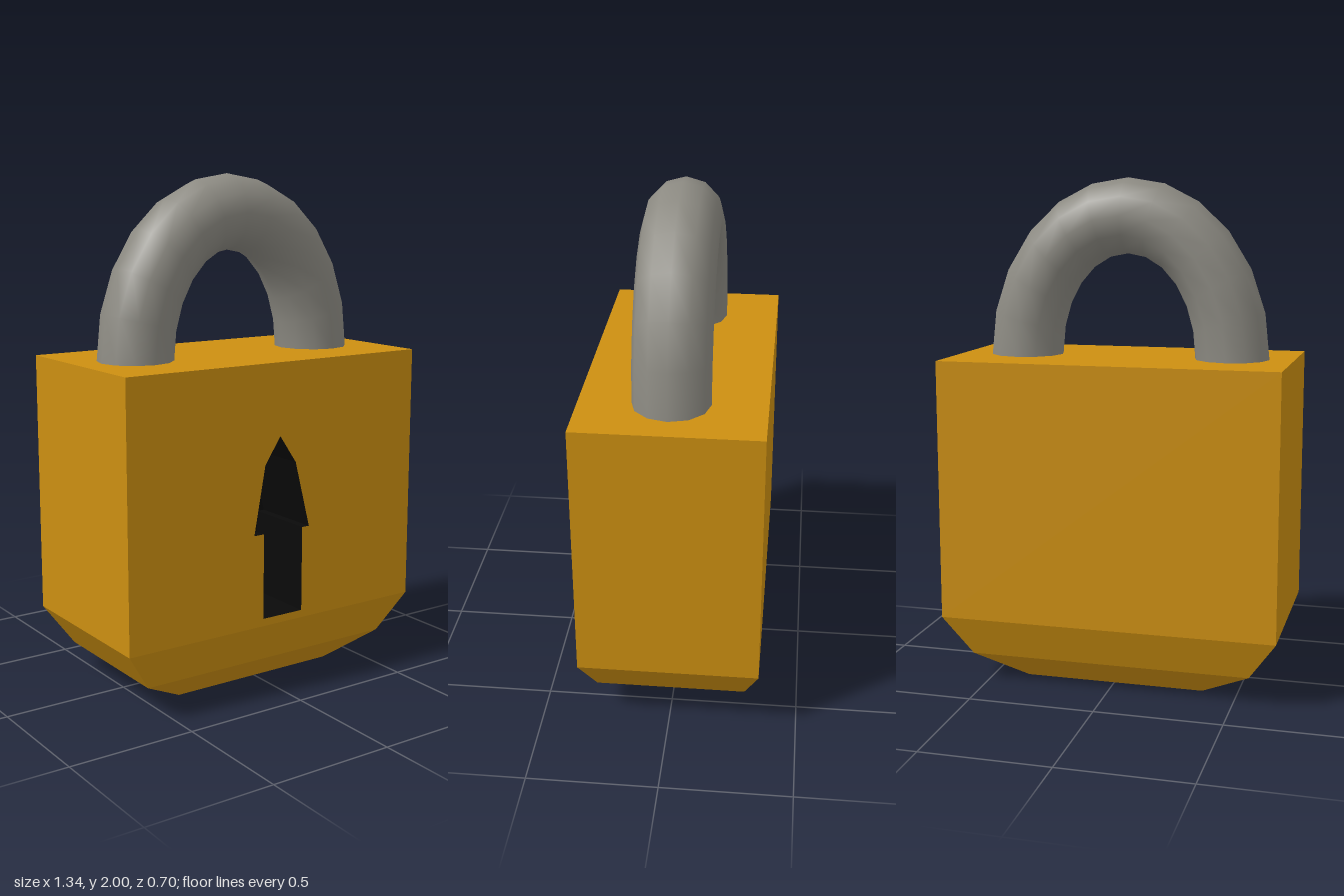
import * as THREE from 'three';
import { mergeVertices } from 'three/addons/utils/BufferGeometryUtils.js';

const BRASS = new THREE.MeshStandardMaterial({ color: 0xcc8f11 });
const STEEL = new THREE.MeshStandardMaterial({ color: 0x8c8a82 });
const BLACK = new THREE.MeshStandardMaterial({ color: 0x0a0a0a, side: THREE.DoubleSide });

function addMesh(parent, name, geometry, material) {
  const mesh = new THREE.Mesh(geometry, material);
  mesh.name = name;
  parent.add(mesh);
  return mesh;
}

// Flat-shaded geometry from four-cornered faces, counter-clockwise from outside
function quadGeometry(quads) {
  const positions = [];
  for (const [a, b, c, d] of quads) positions.push(...a, ...b, ...c, ...a, ...c, ...d);
  const geometry = new THREE.BufferGeometry();
  geometry.setAttribute('position', new THREE.Float32BufferAttribute(positions, 3));
  geometry.computeVertexNormals();
  return geometry;
}

// Rectangular cross-section, starting at the front right corner
const ring = (y, w, d) => [[-w, y, d], [w, y, d], [w, y, -d], [-w, y, -d]];

export function createModel() {
  const group = new THREE.Group();
  group.name = 'padlock';
  const halfW = 0.67, halfD = 0.35, bottom = 0.27, top = 1.3, recess = 0.3;

  // Casing: stacked rings with two bevels at the foot, front panel left open
  const rings = [
    ring(0, 0.36, 0.19), ring(0.11, 0.56, 0.293),
    ring(bottom, halfW, halfD), ring(top, halfW, halfD),
  ];
  const quads = [[...rings[0]].reverse(), rings[3]];
  for (let i = 0; i < 3; i++) {
    for (let k = 0; k < 4; k++) {
      if (i === 2 && k === 0) continue;
      const n = (k + 1) % 4;
      quads.push([rings[i][k], rings[i][n], rings[i + 1][n], rings[i + 1][k]]);
    }
  }
  addMesh(group, 'casing', quadGeometry(quads), BRASS);

  // Front panel with the arrow-shaped keyhole cut out
  const outline = [
    [-0.07, 0.3], [0.115, 0.3], [0.115, 0.64], [0.148, 0.64], [0.08, 0.905],
    [0.005, 1.015], [-0.065, 0.91], [-0.115, 0.64], [-0.07, 0.64],
  ];
  const points = outline.map(([x, y]) => new THREE.Vector2(x, y));
  const panel = new THREE.Shape([
    new THREE.Vector2(-halfW, bottom), new THREE.Vector2(halfW, bottom),
    new THREE.Vector2(halfW, top), new THREE.Vector2(-halfW, top),
  ]);
  panel.holes.push(new THREE.Path(points));
  addMesh(group, 'frontPanel', new THREE.ShapeGeometry(panel), BRASS).position.z = halfD;

  // Keyhole recess: walls facing inward and a back plate
  const keyhole = new THREE.Group();
  keyhole.name = 'keyhole';
  group.add(keyhole);
  const walls = outline.map(([x, y], i) => {
    const [nx, ny] = outline[(i + 1) % outline.length];
    const back = halfD - recess;
    return [[x, y, halfD], [nx, ny, halfD], [nx, ny, back], [x, y, back]];
  });
  addMesh(keyhole, 'keyholeWalls', quadGeometry(walls), BLACK);
  addMesh(keyhole, 'keyholeBack', new THREE.ShapeGeometry(new THREE.Shape(points)), BLACK)
    .position.z = halfD - recess;

  // Shackle: half torus whose tube sections are lifted into a taller arch
  let arch = new THREE.TorusGeometry(0.42, 0.147, 12, 12, Math.PI);
  const pos = arch.attributes.position;
  for (let i = 0; i < pos.count; i++) {
    const angle = Math.atan2(pos.getY(i), pos.getX(i));
    pos.setY(i, pos.getY(i) + 0.133 * Math.sin(angle));
  }
  arch.deleteAttribute('uv');
  arch.deleteAttribute('normal');
  arch = mergeVertices(arch);
  arch.computeVertexNormals();
  addMesh(group, 'shackle', arch, STEEL).position.set(-0.007, top, 0.006);

  return group;
}
